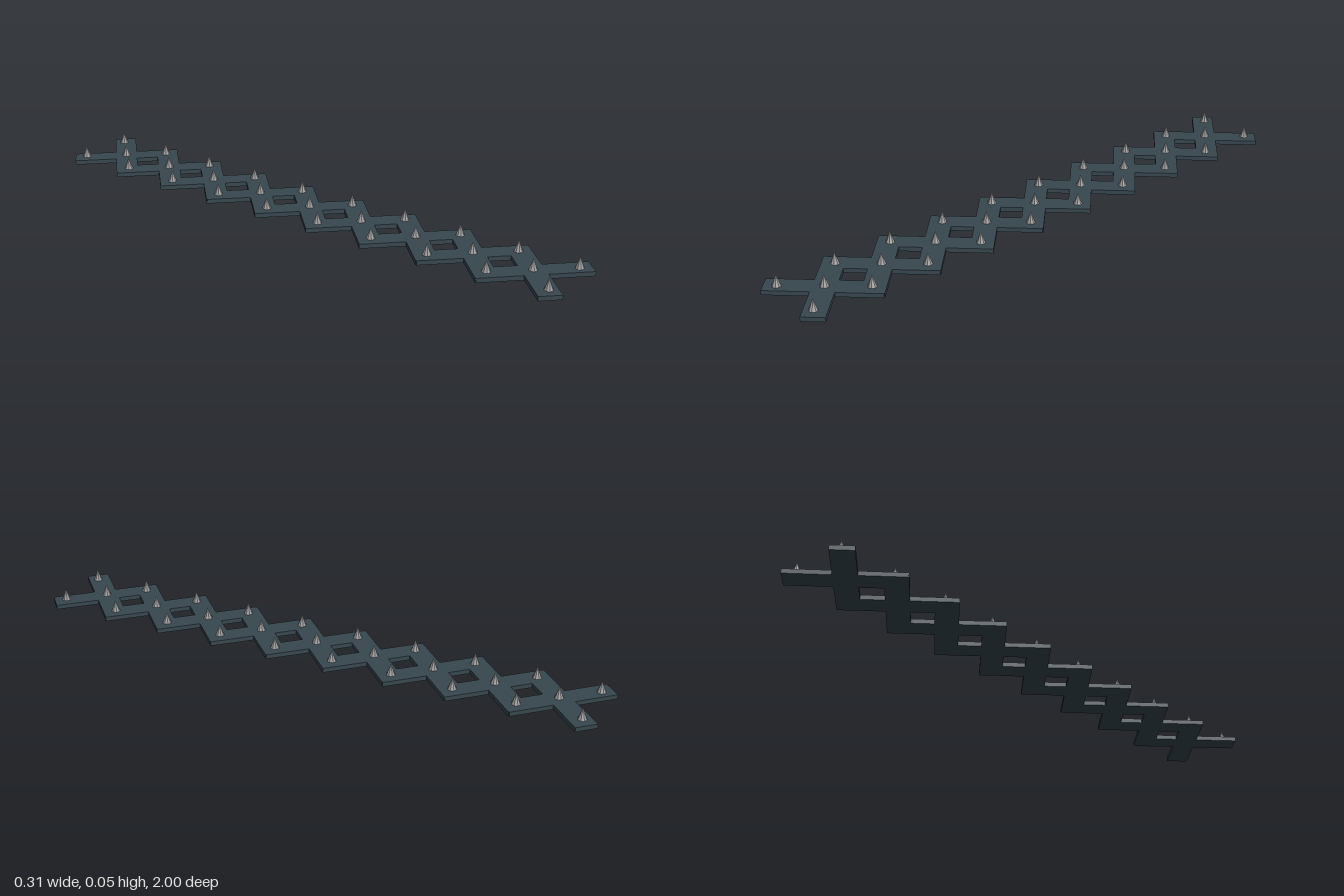
import * as THREE from 'three';

export function createModel() {
  const model = new THREE.Group();
  const darkSteel = new THREE.MeshStandardMaterial({ name: 'dark steel', color: 0x37474f, flatShading: true });
  const paleSteel = new THREE.MeshStandardMaterial({ name: 'pale steel', color: 0x9e9e9e, flatShading: true });

  const half = 0.1055; // half the distance between crossings
  const thick = 0.015;

  // Lattice of crossed diagonal bars
  const barGeometry = new THREE.BoxGeometry(0.075, thick, 0.369);
  for (let k = -4; k <= 4; k++) {
    for (const side of [-1, 1]) {
      const bar = new THREE.Mesh(barGeometry, darkSteel);
      bar.name = 'latticeBar';
      bar.position.set(0, thick / 2, k * half * 2);
      bar.rotation.y = side * Math.PI / 4;
      model.add(bar);
    }
  }

  // Spikes: one on each crossing, a pair on the joints between
  const spikeGeometry = new THREE.ConeGeometry(0.015, 0.039, 8);
  for (let j = -9; j <= 9; j++) {
    for (const x of j % 2 === 0 ? [0] : [-0.097, 0.097]) {
      const spike = new THREE.Mesh(spikeGeometry, paleSteel);
      spike.name = 'spike';
      spike.position.set(x, thick + 0.0195, j * half);
      model.add(spike);
    }
  }
  return model;
}
